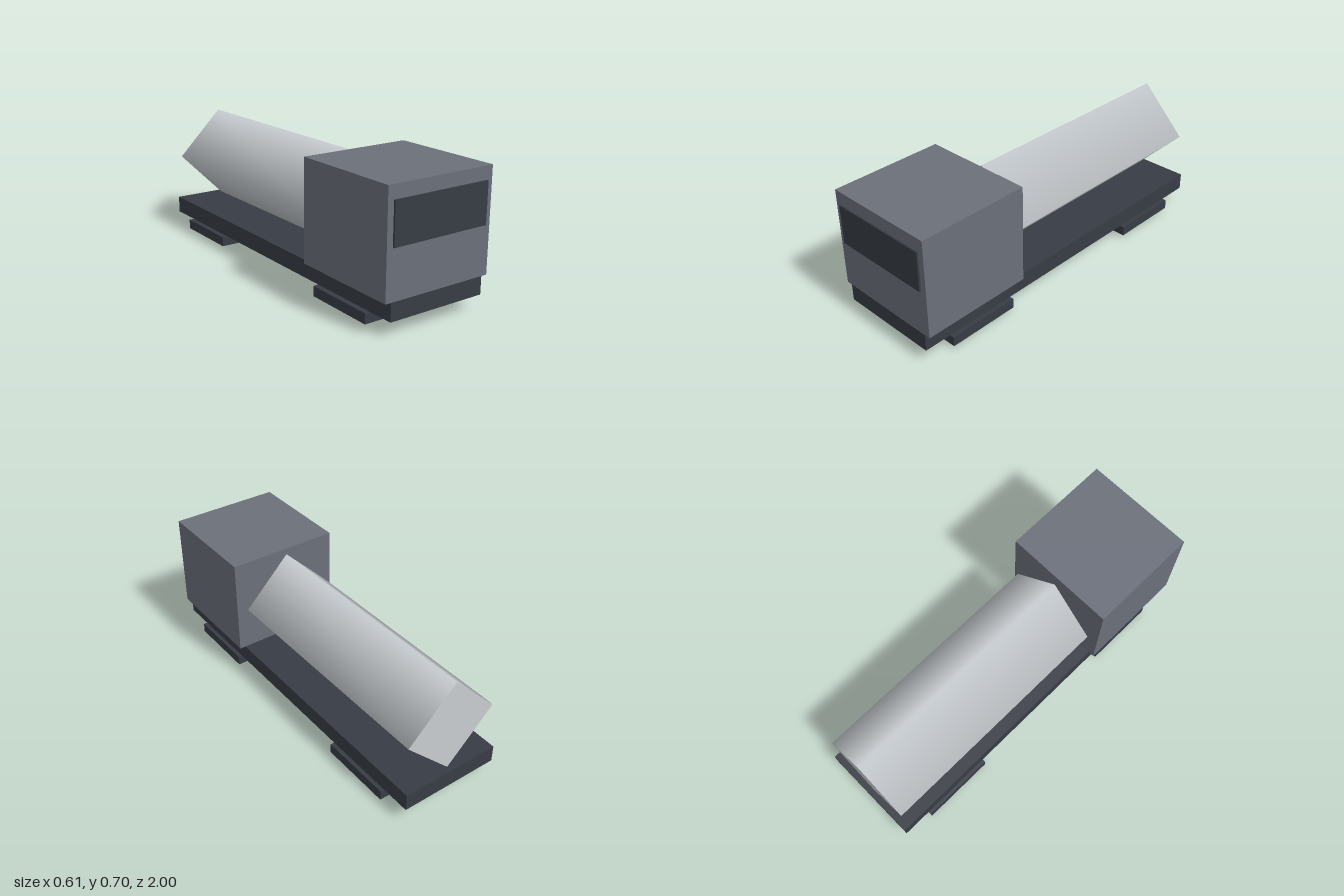
import * as THREE from 'three';

const mat = (name, color) => {
  const m = new THREE.MeshStandardMaterial({ color });
  m.name = name;
  return m;
};

export function createModel() {
  const group = new THREE.Group();
  const cabGrey = mat('cab grey', 0x6b707a);
  const darkGrey = mat('dark grey', 0x373c44);
  const silver = mat('silver', 0xc8cdd1);
  const teal = mat('pale teal', 0x7cbccb);

  // Box centred on x, given its half width and its y and z ranges
  const box = (name, material, hx, y0, y1, z0, z1) => {
    const mesh = new THREE.Mesh(new THREE.BoxGeometry(hx * 2, y1 - y0, z1 - z0), material);
    mesh.position.set(0, (y0 + y1) / 2, (z0 + z1) / 2);
    mesh.name = name;
    group.add(mesh);
  };

  // Chassis, cab and windscreen
  box('deck', darkGrey, 0.273, 0.079, 0.171, -1, 0.99);
  box('cab', cabGrey, 0.305, 0.171, 0.7, 0.383, 0.99);
  box('windscreen', darkGrey, 0.273, 0.422, 0.633, 0.991, 1);

  // Four-sided tank with smooth normals, resting on one edge
  const length = 1.325;
  const tank = new THREE.Mesh(new THREE.CylinderGeometry(0.257, 0.257, length, 4), silver);
  tank.rotation.x = Math.PI / 2;
  tank.position.set(0, 0.428, 0.355 - length / 2);
  tank.name = 'tank';
  group.add(tank);

  // Hover pads with glowing undersides
  for (const [side, z] of [['front', 0.637], ['rear', -0.64]]) {
    box(side + 'Pad', darkGrey, 0.289, 0.017, 0.07, z - 0.199, z + 0.199);
    box(side + 'PadGlow', teal, 0.243, 0, 0.015, z - 0.159, z + 0.159);
  }
  return group;
}
